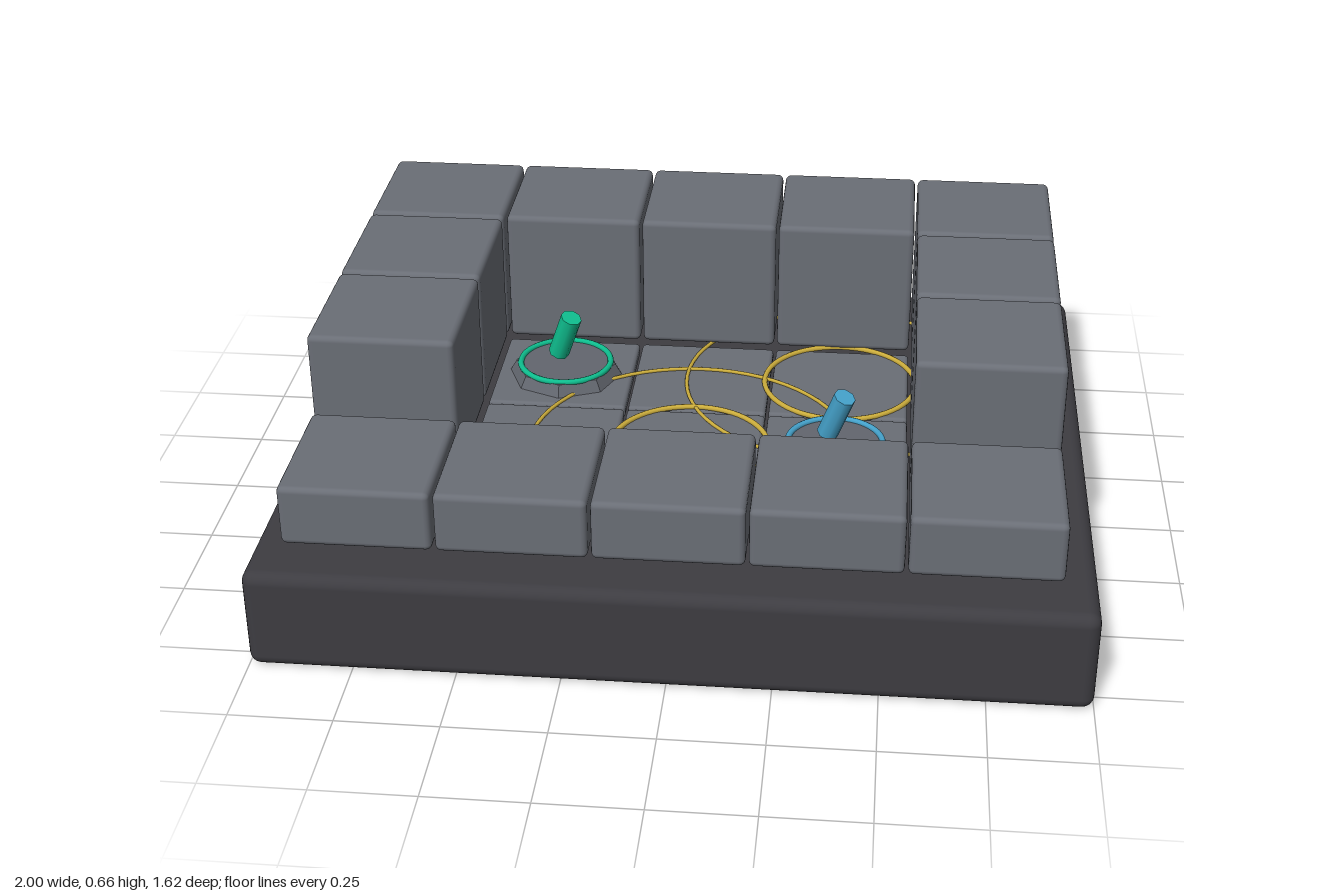
import * as THREE from 'three';
import { RoundedBoxGeometry } from 'three/addons/geometries/RoundedBoxGeometry.js';

const PITCH = 0.3675;
const BLOCK = 0.36;

function material(name, color, flatShading = false) {
  const m = new THREE.MeshStandardMaterial({ color, flatShading });
  m.name = name;
  return m;
}

export function createModel() {
  const model = new THREE.Group();
  model.name = 'boardDiorama';

  const charcoal = material('charcoal', 0x3d3c41);
  const stone = material('stone', 0x6a6e76);
  const pedestalGrey = material('pedestalGrey', 0x62666e, true);
  const gold = material('gold', 0xcdae3c);
  const green = material('green', 0x0fbf8f);
  const blue = material('blue', 0x45a3cc);

  function add(name, geometry, mat, x, y, z, parent = model) {
    const mesh = new THREE.Mesh(geometry, mat);
    mesh.name = name;
    mesh.position.set(x, y, z);
    parent.add(mesh);
    return mesh;
  }

  // Rounded plinth
  add('base', new RoundedBoxGeometry(2, 0.26, 1.62, 3, 0.03), charcoal, 0, 0.13, 0);

  // Blocks: recessed floor, tall walls on three sides, low wall in front
  const floorGeo = new RoundedBoxGeometry(BLOCK, 0.036, BLOCK, 2, 0.01);
  const tallGeo = new RoundedBoxGeometry(BLOCK, 0.36, BLOCK, 2, 0.015);
  const lowGeo = new RoundedBoxGeometry(BLOCK, 0.155, BLOCK, 2, 0.015);
  for (let row = 0; row < 4; row++) {
    for (let col = 0; col < 5; col++) {
      const x = (col - 2) * PITCH;
      const z = (row - 1.5) * PITCH;
      if (row === 3) add('frontWallBlock', lowGeo, stone, x, 0.3775, z);
      else if (row === 0 || col === 0 || col === 4) add('wallBlock', tallGeo, stone, x, 0.48, z);
    }
  }
  for (const z of [-PITCH / 2, PITCH / 2]) {
    for (const x of [-PITCH, 0, PITCH]) add('floorTile', floorGeo, stone, x, 0.279, z);
  }

  // Gold rings lying on the floor
  function ring(name, radius, tube, mat, x, y, z, parent) {
    const geo = new THREE.TorusGeometry(radius, tube, 8, 64).rotateX(Math.PI / 2);
    return add(name, geo, mat, x, y, z, parent);
  }
  for (const [x, z] of [[0, PITCH / 2], [PITCH, -PITCH / 2]]) {
    ring('smallFloorRing', 0.2, 0.007, gold, x, 0.3, z);
    ring('largeFloorRing', 0.408, 0.005, gold, x, 0.3, z);
  }

  // Octagonal pedestals, each with a coloured ring and a leaning peg
  function marker(name, mat, x, z) {
    const group = new THREE.Group();
    group.name = name;
    group.position.set(x, 0.297, z);
    model.add(group);
    add('pedestal', new THREE.CylinderGeometry(0.133, 0.15, 0.03, 8), pedestalGrey, 0, 0.015, 0, group);
    ring('pedestalRing', 0.12, 0.008, mat, 0, 0.032, 0, group);
    const peg = add('peg', new THREE.CylinderGeometry(0.028, 0.028, 0.13, 8), mat, 0, 0.11, 0, group);
    peg.rotation.set(0.24, 0, -0.32);
  }
  marker('greenMarker', green, -PITCH, -PITCH / 2);
  marker('blueMarker', blue, PITCH, PITCH / 2);

  return model;
}
